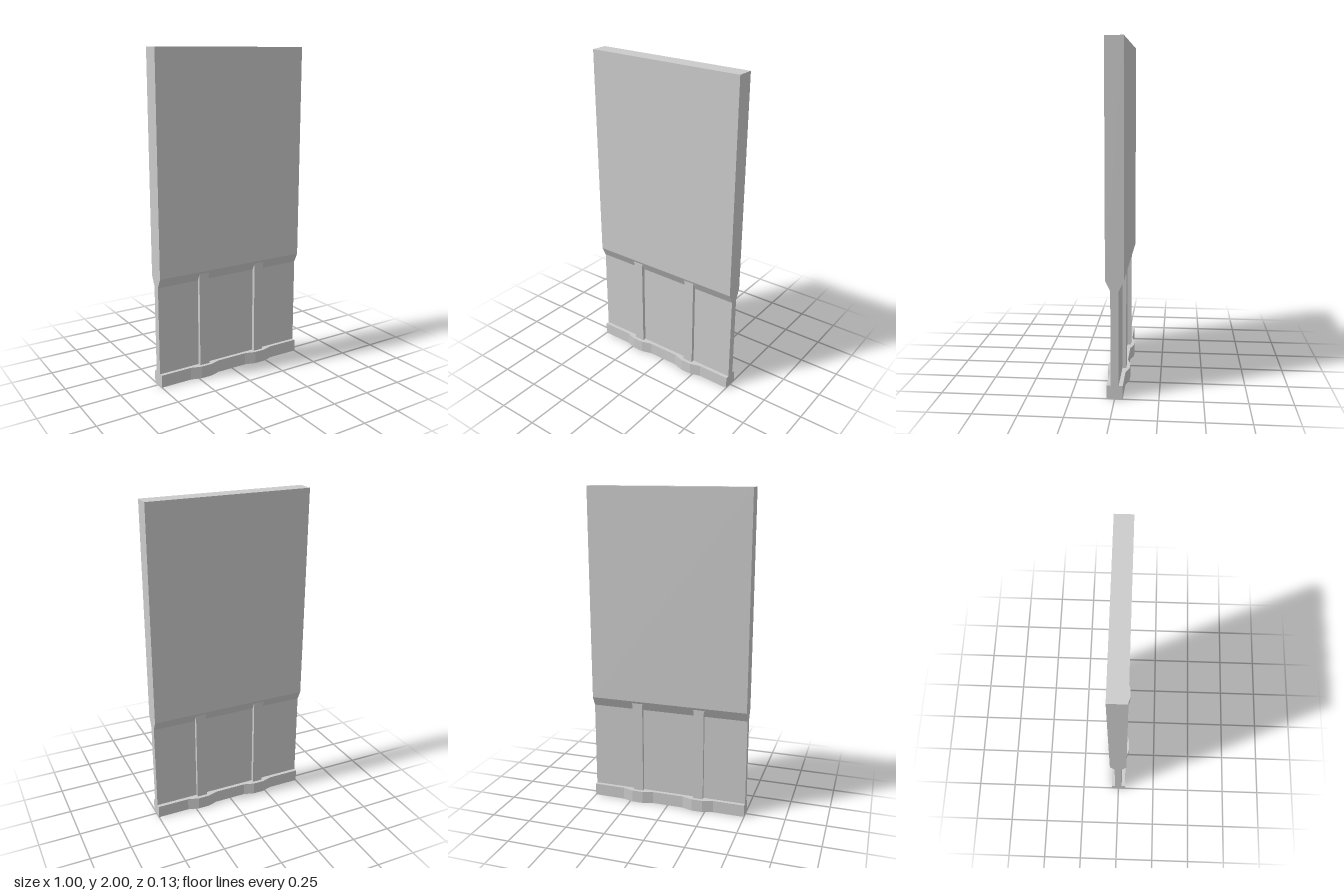
import * as THREE from 'three';

const material = new THREE.MeshStandardMaterial({ color: 0xcccccc, flatShading: true });

// Extrude an outline, centred on its depth
function extrude(points, depth) {
  const shape = new THREE.Shape(points.map(([x, y]) => new THREE.Vector2(x, y)));
  return new THREE.ExtrudeGeometry(shape, { depth, bevelEnabled: false }).translate(0, 0, -depth / 2);
}

// Close a half outline by mirroring it across the vertical axis
const mirrorX = (half) => [...half, ...half.map(([x, y]) => [-x, y]).reverse()];

export function createModel() {
  const group = new THREE.Group();
  const add = (name, geometry) => {
    const mesh = new THREE.Mesh(geometry, material);
    mesh.name = name;
    group.add(mesh);
    return mesh;
  };

  // Slab: thick above, tapering to a thin lower panel
  const section = mirrorX([[0.023, 0.04], [0.023, 0.625], [0.052, 0.685], [0.052, 2]]);
  add('slab', extrude(section, 1).rotateY(Math.PI / 2));

  // Foot rail: a bar that swells on both faces below each rib
  const edge = [[-0.5, 0.046]];
  for (const c of [-0.2, 0.2]) {
    edge.push([c - 0.1, 0.046], [c - 0.034, 0.066], [c + 0.034, 0.066], [c + 0.1, 0.046]);
  }
  edge.push([0.5, 0.046]);
  const plan = [...edge, ...edge.map(([x, z]) => [x, -z]).reverse()];
  add('footRail', extrude(plan, 0.078).rotateX(-Math.PI / 2).translate(0, 0.039, 0));

  // Ribs: stand proud of both faces and flare slightly under the taper
  const rib = mirrorX([[0.032, 0.06], [0.032, 0.655], [0.038, 0.675], [0.038, 0.685]]);
  for (const [name, x] of [['leftRib', 0.2], ['rightRib', -0.2]]) {
    add(name, extrude(rib, 0.09)).position.x = x;
  }

  return group;
}
